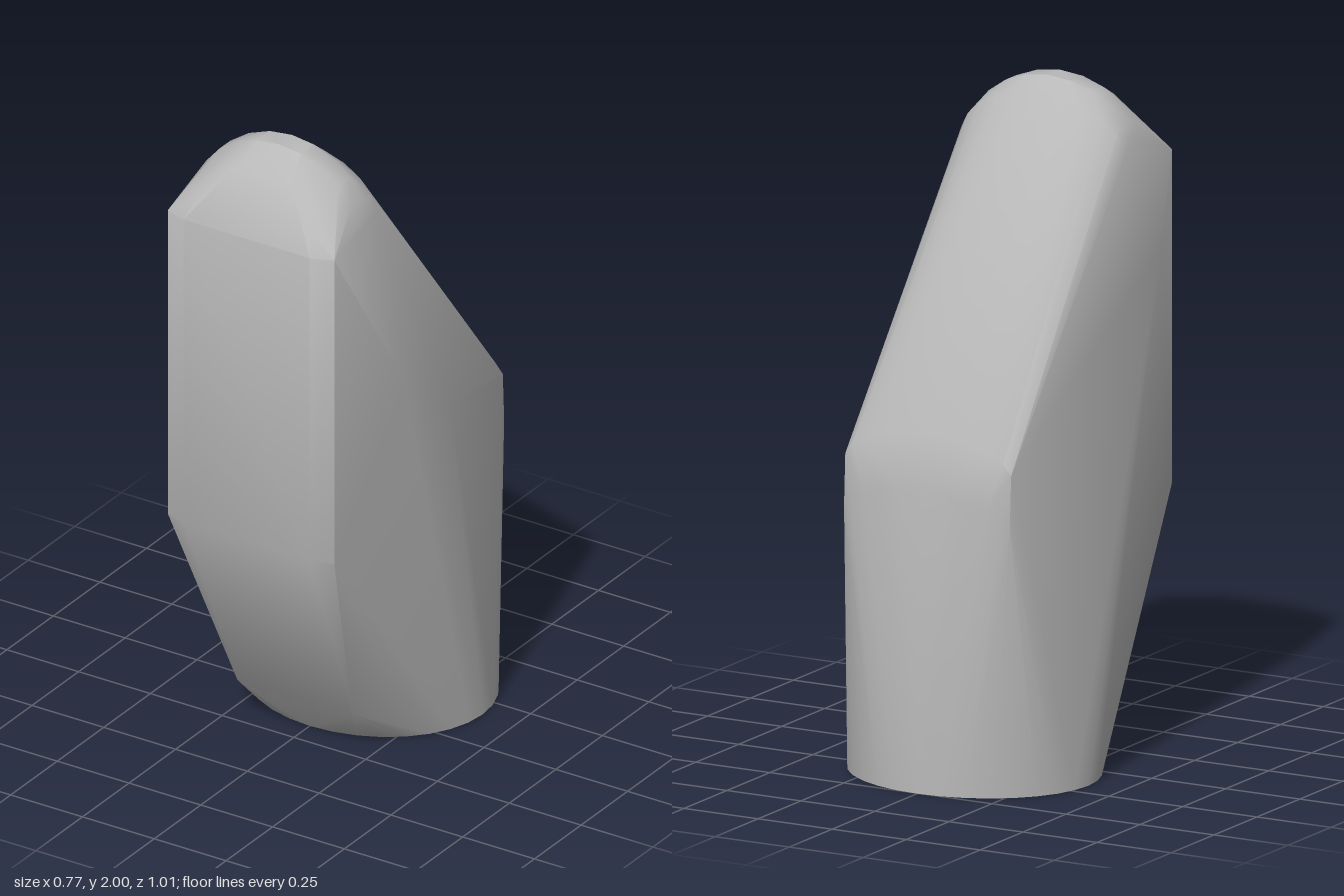
import * as THREE from 'three';
import { toCreasedNormals } from 'three/addons/utils/BufferGeometryUtils.js';
import { ConvexGeometry } from 'three/addons/geometries/ConvexGeometry.js';

export function createModel() {
  const group = new THREE.Group();
  const grey = new THREE.MeshStandardMaterial({ color: 0xb8b8b8 });
  grey.name = 'stone grey';

  const points = [];
  const add = (x, y, z) => points.push(new THREE.Vector3(x, y, z));
  const pair = (x, y, z) => { add(x, y, z); add(-x, y, z); };

  // oval foot
  const sides = 32;
  for (let i = 0; i < sides; i++) {
    const a = (i / sides) * Math.PI * 2;
    add(0.385 * Math.sin(a), 0, -0.17 + 0.335 * Math.cos(a));
  }

  // rounded ridge of the sloping back, from the crown down to the rear shoulder
  for (let i = -5; i <= 5; i++) {
    const t = i / 5;
    const x = 0.28 * Math.sin(t * 1.35) / Math.sin(1.35);
    const drop = 1 - Math.sqrt(1 - (x / 0.287) ** 2);
    add(x, 1.95 - 0.17 * drop, 0.2 + 0.05 * drop);
    add(x, 2 - 0.24 * drop, 0.26 + 0.04 * drop);
    add(x, 2 - 0.24 * drop, 0.33);
    add(x, 1.07 - 0.12 * drop, -0.44);
    add(x, 0.9 - 0.1 * drop, -0.473 + 0.033 * drop);
  }

  // rounded brow above the front panel
  pair(0.14, 1.93, 0.4);
  pair(0.1, 1.93, 0.415);
  pair(0.2, 1.83, 0.465);

  // front panel with chamfered edges
  for (const y of [0.76, 1.765]) {
    pair(0.29, y, 0.48);
    pair(0.22, y, 0.505);
  }

  // chin running back to the foot
  pair(0.2, 0.13, 0.245);
  pair(0.12, 0.07, 0.21);

  // uneven side bulges
  add(0.382, 1.3, 0.25);
  add(0.382, 1.1, 0.0);
  add(-0.34, 1.5, 0.33);

  const body = new THREE.Mesh(toCreasedNormals(new ConvexGeometry(points), 0.6), grey);
  body.name = 'body';
  group.add(body);
  return group;
}
